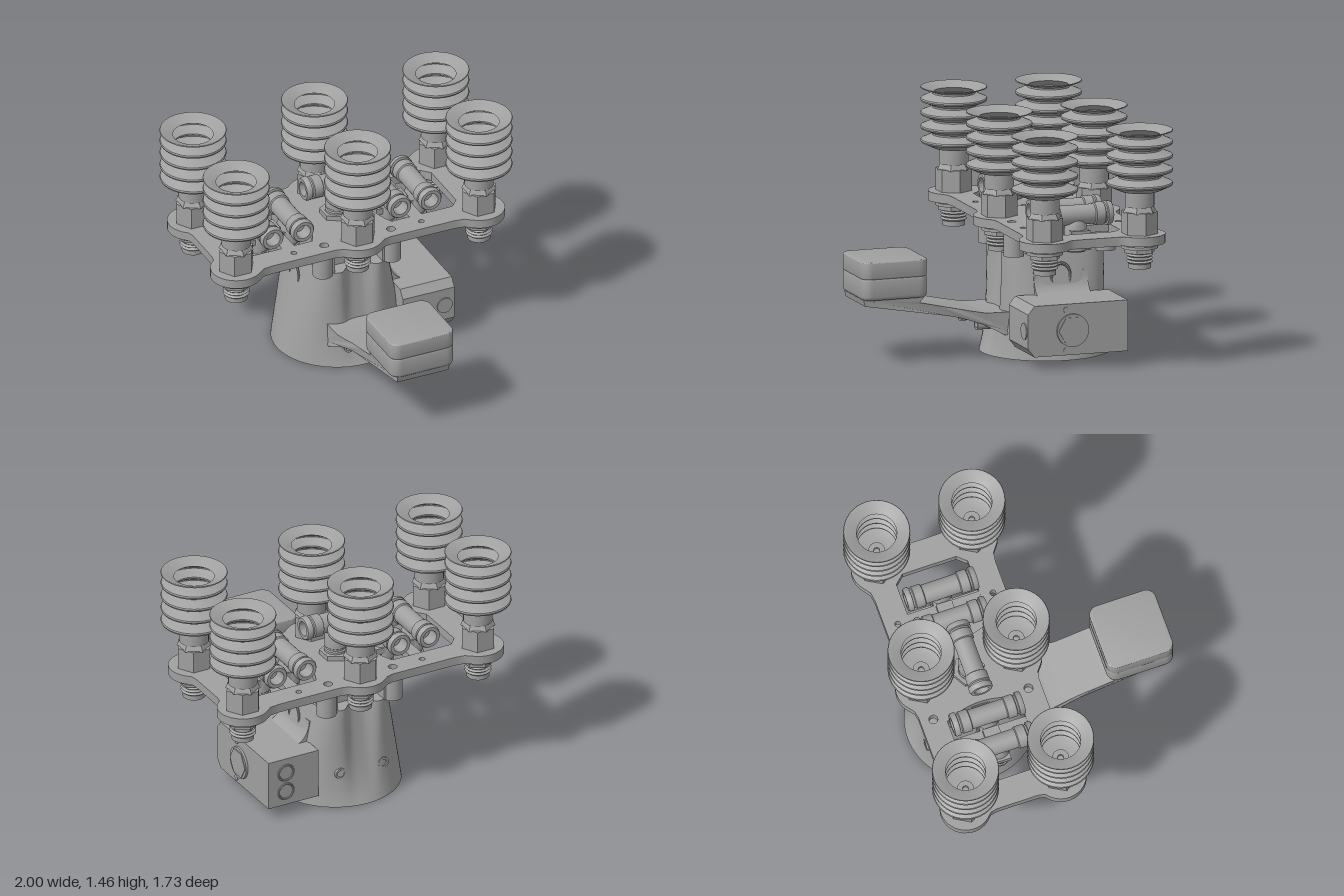
import * as THREE from 'three';
import { toCreasedNormals } from 'three/addons/utils/BufferGeometryUtils.js';

const grey = new THREE.MeshStandardMaterial({ color: 0xa0a0a0 });
grey.name = 'machined grey';
const MID = -0.37; // z of the mounting plate's centre line

function add(parent, name, geo, x = 0, y = 0, z = 0) {
  const mesh = new THREE.Mesh(toCreasedNormals(geo, 0.6), grey);
  mesh.name = name;
  mesh.position.set(x, y, z);
  parent.add(mesh);
  return mesh;
}
function group(parent, name, x = 0, y = 0, z = 0) {
  const g = new THREE.Group();
  g.name = name;
  g.position.set(x, y, z);
  parent.add(g);
  return g;
}
const lathe = (pts, n = 32) => new THREE.LatheGeometry(pts.map(p => new THREE.Vector2(...p)), n);
const cyl = (r, h, n = 24) => new THREE.CylinderGeometry(r, r, h, n);
const box = (w, h, d) => new THREE.BoxGeometry(w, h, d);
// short socket with a blind hole, opening towards +y
const socket = (r, h, inner) => lathe([[0, 0], [r, 0], [r, h], [inner, h], [inner, h * 0.3], [0, h * 0.3]], 24);

function roundedRect(w, d, r) {
  const s = new THREE.Shape();
  [[1, 1], [-1, 1], [-1, -1], [1, -1]].forEach(([sx, sy], i) =>
    s.absarc(sx * (w / 2 - r), sy * (d / 2 - r), r, i * Math.PI / 2, (i + 1) * Math.PI / 2));
  return s;
}

// Bellows cup, hex stem and threaded tail
function suctionCup(root, x, z) {
  const g = group(root, 'suctionCup', x, 0, z);
  const outer = [[0, 1.09], [0.12, 1.09]], inner = [];
  for (const y of [1.135, 1.218, 1.302, 1.385]) {
    outer.push([0.196, y - 0.01], [0.2, y], [0.196, y + 0.008], [0.13, y + 0.036], [0.13, y + 0.046]);
    inner.unshift([0.12, y + 0.043], [0.182, y + 0.003], [0.182, y - 0.003], [0.12, y - 0.03]);
  }
  outer.push([0.2, 1.455], [0.197, 1.46]);
  add(g, 'bellows', lathe([...outer, [0.187, 1.458], ...inner, [0.05, 1.105], [0.05, 1.13], [0.018, 1.13], [0.018, 1.11], [0, 1.11]], 40));
  add(g, 'stemCollar', cyl(0.088, 0.1), 0, 1.045);
  add(g, 'upperHex', new THREE.CylinderGeometry(0.08, 0.105, 0.05, 6), 0, 0.985);
  add(g, 'hexBody', cyl(0.11, 0.14, 6), 0, 0.895).rotation.y = Math.PI / 6;
  add(g, 'washer', cyl(0.11, 0.018), 0, 0.752);
  add(g, 'nut', cyl(0.095, 0.03, 6), 0, 0.73);
  const thread = [[0, 0.635], [0.035, 0.635], [0.035, 0.62], [0.068, 0.62], [0.068, 0.645]];
  for (let i = 0; i < 6; i++) thread.push([0.068, 0.65 + i * 0.02], [0.08, 0.66 + i * 0.02]);
  add(g, 'thread', lathe([...thread, [0.068, 0.78]]));
}

// T-shaped hose fitting: a cross tube along y (rotated later) and a downward leg
function teeFitting(root, x, y, alongX, legLength) {
  const g = group(root, 'teeFitting', x, y, MID + 0.005);
  const half = [[0.06, 0.06], [0.06, 0.11], [0.069, 0.115], [0.069, 0.17], [0.06, 0.175],
    [0.06, 0.185], [0.073, 0.188], [0.073, 0.21], [0.066, 0.222], [0.045, 0.222], [0.045, 0.14], [0, 0.14]];
  const mirror = half.map(([r, h]) => [r, -h]).reverse();
  const tube = add(g, 'crossTube', lathe([...mirror, ...half], 28));
  tube.rotation[alongX ? 'z' : 'x'] = Math.PI / 2;
  const e = -legLength;
  add(g, 'leg', lathe([[0, e + 0.03], [0.04, e + 0.03], [0.04, e], [0.06, e], [0.069, e + 0.008], [0.069, e + 0.025],
    [0.06, e + 0.03], [0.06, e + 0.04], [0.067, e + 0.045], [0.067, -0.06], [0.05, -0.02]], 28));
}

function mountingPlate(root) {
  // one quarter of the lobed outline, mirrored around
  const q = [[0.88, 0], [0.88, 0.13], [0.888, 0.17]];
  const arc = (cx, a0, a1, n) => {
    for (let i = 0; i <= n; i++) {
      const a = THREE.MathUtils.degToRad(a0 + (a1 - a0) * i / n);
      q.push([cx + 0.155 * Math.cos(a), 0.3 + 0.155 * Math.sin(a)]);
    }
  };
  arc(0.8, -40, 130, 16);
  q.push([0.66, 0.388], [0.6, 0.38], [0.18, 0.38], [0.135, 0.39]);
  arc(0, 50, 90, 5);
  const upper = [...q, ...q.slice(0, -1).reverse().map(([x, w]) => [-x, w])];
  const lower = upper.slice(1, -1).reverse().map(([x, w]) => [x, -w]);
  const s = new THREE.Shape([...upper, ...lower].map(p => new THREE.Vector2(...p)));
  for (const k of [1, -1]) {
    const h = new THREE.Path();
    h.moveTo(k * 0.66, 0.225).lineTo(k * 0.26, 0.225);
    h.quadraticCurveTo(k * 0.15, 0, k * 0.26, -0.225);
    h.lineTo(k * 0.66, -0.225).lineTo(k * 0.71, -0.17).lineTo(k * 0.71, 0.17).closePath();
    s.holes.push(h);
    for (const w of [0.3, -0.3]) {
      s.holes.push(new THREE.Path().absarc(k * 0.42, w, 0.018, 0, Math.PI * 2));
      s.holes.push(new THREE.Path().absarc(k * 0.22, w, 0.027, 0, Math.PI * 2));
    }
  }
  const geo = new THREE.ExtrudeGeometry(s, { depth: 0.055, bevelEnabled: false, curveSegments: 14 });
  add(root, 'mountingPlate', geo.rotateX(Math.PI / 2), 0, 0.83, MID);
  for (const k of [1, -1]) {
    add(root, 'fittingStrip', box(0.08, 0.045, 0.47), k * 0.42, 0.803, MID);
    add(root, 'fittingCrossBar', box(0.36, 0.04, 0.12), k * 0.42, 0.803, MID);
    add(root, 'stripBlock', box(0.06, 0.04, 0.1), k * 0.42, 0.842, MID);
  }
  add(root, 'centreNut', cyl(0.1, 0.03, 6), 0, 0.845, MID);
}

// Pedestal: round foot blending into a narrower squarish top with a groove front and back
function pedestal(root) {
  const g = group(root, 'pedestal', 0, 0, -0.36);
  const geo = new THREE.CylinderGeometry(1, 1, 0.63, 96, 16).translate(0, 0.315, 0);
  const p = geo.attributes.position;
  for (let i = 0; i < p.count; i++) {
    const t = p.getY(i) / 0.63, r = Math.hypot(p.getX(i), p.getZ(i));
    if (r < 0.01) { if (t < 0.5) p.setY(i, 0.06); continue; }
    const c = p.getX(i), s = p.getZ(i), n = 2 + 1.8 * t;
    const k = 1 / Math.pow(Math.abs(c) ** n + Math.abs(s) ** n, 1 / n);
    const x = c * k * (0.395 - 0.15 * t);
    const groove = 1 - 0.22 * t * Math.exp(-((x / 0.09) ** 4));
    p.setXYZ(i, x, p.getY(i), s * k * (0.33 + 0.065 * (1 - t) ** 4) * groove);
  }
  add(g, 'column', geo);
  add(g, 'foot', lathe([[0, 0.06], [0.17, 0.06], [0.17, 0.015], [0.19, 0.015], [0.19, 0.05], [0.29, 0.05], [0.29, 0], [0.395, 0]], 64));
  for (let i = 0; i < 6; i++) {
    const a = i * Math.PI / 3;
    add(g, 'footScrew', cyl(0.022, 0.06, 12), 0.24 * Math.cos(a), 0.035, 0.24 * Math.sin(a));
  }
  add(g, 'topBlock', box(0.42, 0.17, 0.45), 0, 0.7, 0);
  for (const x of [-0.225, 0.225]) for (const z of [-0.3, 0.28]) {
    add(g, 'screwBoss', cyl(0.06, 0.155), x, 0.7, z);
    add(g, 'bossWeb', box(0.07, 0.155, 0.16), x * 0.85, 0.7, z * 0.8);
  }
  // oval port on each side, screw sockets at the back
  for (const k of [1, -1]) {
    const port = add(g, 'sidePort', new THREE.TorusGeometry(0.06, 0.008, 8, 32), k * 0.279, 0.49, 0);
    port.rotation.set(0, Math.PI / 2, 0);
    port.scale.y = 1.3;
    add(g, 'rearSocket', socket(0.035, 0.05, 0.022), k * 0.145, 0.21, -0.285).rotation.x = -Math.PI / 2;
  }
}

function frontArm(root) {
  const g = group(root, 'frontArm');
  const s = new THREE.Shape();
  s.moveTo(-0.12, 0.14).lineTo(-0.03, 0.14);
  s.quadraticCurveTo(0.14, 0.245, 0.34, 0.28);
  s.lineTo(0.84, 0.365).lineTo(0.85, 0.405).lineTo(0.47, 0.405).lineTo(0.5, 0.37);
  s.quadraticCurveTo(0.2, 0.3, 0.08, 0.28);
  s.lineTo(-0.12, 0.28).closePath();
  const geo = new THREE.ExtrudeGeometry(s, { depth: 2, bevelEnabled: false, curveSegments: 12 });
  geo.translate(0, 0, -1).rotateY(-Math.PI / 2);
  const p = geo.attributes.position;
  for (let i = 0; i < p.count; i++) {
    const z = p.getZ(i);
    p.setX(i, p.getX(i) * (z > 0.8 ? 0.17 : 0.185 + 0.022 * Math.max(0, 1 - Math.max(z, 0) / 0.25)));
  }
  add(g, 'arm', geo);
  for (const k of [1, -1]) add(g, 'armSocket', socket(0.037, 0.12, 0.024), k * 0.145, 0.21, 0.01).rotation.x = Math.PI / 2;
  // two-piece rounded housing
  const shell = (w, d, h, b) => new THREE.ExtrudeGeometry(roundedRect(w - 2 * b, d - 2 * b, 0.06 - b),
    { depth: h - 2 * b, bevelThickness: b, bevelSize: b, bevelSegments: 3, curveSegments: 8 })
    .translate(0, 0, b).rotateX(-Math.PI / 2);
  add(g, 'housingBase', shell(0.416, 0.416, 0.145, 0.025), 0, 0.4, 0.655);
  add(g, 'housingLid', shell(0.416, 0.416, 0.105, 0.008), 0, 0.53, 0.655);
}

function sideUnit(root) {
  const g = group(root, 'sideUnit');
  const s = new THREE.Shape([[-0.66, 0.08], [-0.07, 0.08], [-0.03, 0.13], [-0.03, 0.34], [-0.07, 0.39], [-0.66, 0.39]]
    .map(p => new THREE.Vector2(...p)));
  const geo = new THREE.ExtrudeGeometry(s, { depth: 0.34, bevelEnabled: false });
  add(g, 'unitBox', geo.rotateY(-Math.PI / 2), 0.62, 0, 0);
  add(g, 'hexCap', cyl(0.1, 0.015, 32), 0.627, 0.23, -0.31).rotation.z = Math.PI / 2;
  add(g, 'hexInset', cyl(0.092, 0.006, 6), 0.636, 0.23, -0.31).rotation.z = Math.PI / 2;
  for (const y of [0.355, 0.11]) add(g, 'capScrew', cyl(0.018, 0.008, 16), 0.621, y, -0.27).rotation.z = Math.PI / 2;
  add(g, 'frontPlug', cyl(0.05, 0.01), 0.555, 0.23, -0.028).rotation.x = Math.PI / 2;
  for (const y of [0.17, 0.295]) add(g, 'rearPort', new THREE.TorusGeometry(0.05, 0.007, 8, 28), 0.5, y, -0.66);
  // sloped web from the column to the box
  const w = new THREE.Shape();
  w.moveTo(0.22, 0.38).lineTo(0.37, 0.38);
  w.quadraticCurveTo(0.28, 0.4, 0.27, 0.52);
  w.lineTo(0.22, 0.52).closePath();
  add(g, 'boxWeb', new THREE.ExtrudeGeometry(w, { depth: 0.34, bevelEnabled: false }), 0, 0, -0.53);
}

export function createModel() {
  const root = new THREE.Group();
  root.name = 'vacuumGripper';
  pedestal(root);
  mountingPlate(root);
  for (const x of [-0.8, 0, 0.8]) for (const z of [-0.67, -0.07]) suctionCup(root, x, z);
  for (const x of [-0.52, -0.32, 0.32, 0.52]) teeFitting(root, x, 0.908, false, 0.218);
  teeFitting(root, 0, 1.058, true, 0.21);
  frontArm(root);
  sideUnit(root);
  return root;
}
